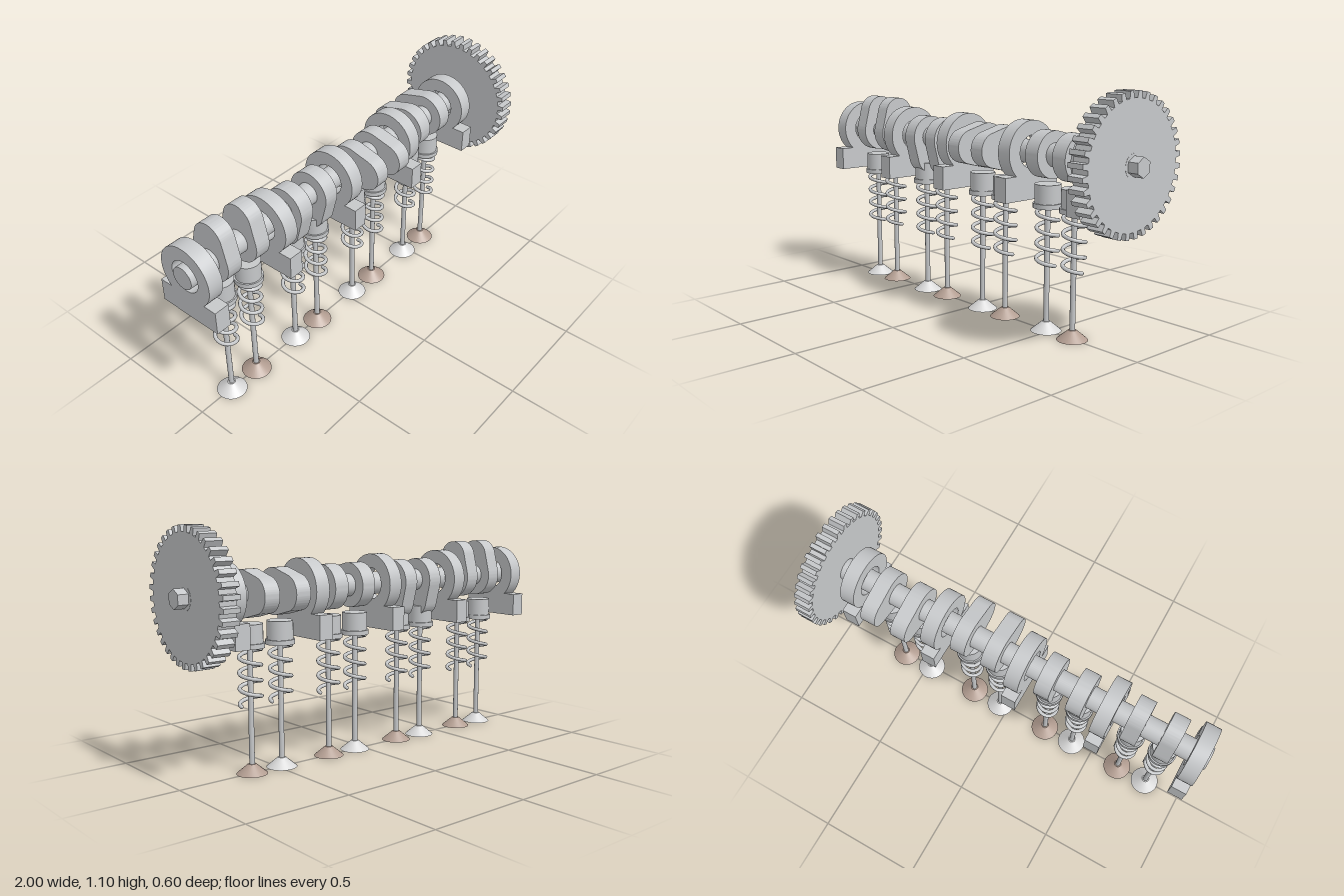
import * as THREE from 'three';
import { toCreasedNormals } from 'three/addons/utils/BufferGeometryUtils.js';

const AXIS_Y = 0.8; // height of the shaft centre line

export function createModel() {
  const steel = new THREE.MeshStandardMaterial({ name: 'steel', color: 0xc6c8ca });
  const paleSteel = new THREE.MeshStandardMaterial({ name: 'pale steel', color: 0xd8d8d8 });
  const bronze = new THREE.MeshStandardMaterial({ name: 'heat-stained bronze', color: 0xb39e92 });

  const model = new THREE.Group();
  model.name = 'camshaftAssembly';

  const add = (parent, name, geometry, material, x = 0, y = 0, z = 0) => {
    const mesh = new THREE.Mesh(geometry, material);
    mesh.name = name;
    mesh.position.set(x, y, z);
    parent.add(mesh);
    return mesh;
  };

  // Extrudes a profile along x, centred on x = 0
  const plate = (shape, width, curveSegments = 24) => {
    const g = new THREE.ExtrudeGeometry(shape, { depth: width, bevelEnabled: false, curveSegments });
    g.translate(0, 0, -width / 2).rotateY(Math.PI / 2);
    return toCreasedNormals(g, 0.2);
  };

  // Shaft
  const shaft = new THREE.CylinderGeometry(0.053, 0.053, 1.951, 40).rotateZ(Math.PI / 2);
  add(model, 'shaft', shaft, steel, -0.0245, AXIS_Y);

  // Drive gear
  const teeth = 36, gearShape = new THREE.Shape();
  const toothProfile = [[-0.29, 0.27], [-0.2, 0.299], [0.2, 0.299], [0.29, 0.27]];
  for (let i = 0; i < teeth; i++) {
    for (const [offset, r] of toothProfile) {
      const a = ((i + 0.5 + offset) / teeth) * Math.PI * 2;
      const x = Math.cos(a) * r, y = Math.sin(a) * r;
      if (i === 0 && offset === -0.29) gearShape.moveTo(x, y);
      else gearShape.lineTo(x, y);
    }
  }
  gearShape.closePath();
  add(model, 'driveGear', plate(gearShape, 0.08), steel, 0.91, AXIS_Y);

  // Hexagonal bolt head with its corners at top and bottom
  const hex = new THREE.CylinderGeometry(0.043, 0.043, 0.055, 6).toNonIndexed();
  hex.computeVertexNormals();
  hex.rotateY(Math.PI / 6).rotateZ(Math.PI / 2);
  add(model, 'gearBolt', hex, steel, 0.9725, AXIS_Y);

  // Bearings: a ring standing on a rectangular foot
  const ringShape = new THREE.Shape().absarc(0, 0, 0.14, 0, Math.PI * 2);
  ringShape.holes.push(new THREE.Path().absarc(0, 0, 0.075, 0, Math.PI * 2, true));
  const ringGeometry = plate(ringShape, 0.072);
  const footGeometry = new THREE.BoxGeometry(0.072, 0.112, 0.32);
  for (let i = 0; i < 5; i++) {
    const bearing = new THREE.Group();
    bearing.name = 'bearing';
    bearing.position.x = -0.95 + i * 0.4315;
    add(bearing, 'bearingRing', ringGeometry, steel, 0, AXIS_Y);
    add(bearing, 'bearingFoot', footGeometry, steel, 0, 0.641);
    model.add(bearing);
  }

  // Cam: base circle and nose circle joined by tangents, nose pointing up
  const base = 0.105, nose = 0.08, reach = 0.1;
  const tangent = Math.acos((base - nose) / reach), up = Math.PI / 2;
  const camShape = new THREE.Shape();
  camShape.absarc(0, 0, base, up + tangent, up + Math.PI * 2 - tangent);
  camShape.absarc(0, reach, nose, up - tangent, up + tangent);
  const camGeometry = plate(camShape, 0.075);

  // Valve spring
  class Helix extends THREE.Curve {
    getPoint(t, target = new THREE.Vector3()) {
      const a = t * 3.75 * Math.PI * 2;
      return target.set(0.048 * Math.cos(a), 0.308 + t * 0.26, 0.048 * Math.sin(a));
    }
  }
  const springGeometry = new THREE.TubeGeometry(new Helix(), 120, 0.009, 8);
  const springEnd = new THREE.SphereGeometry(0.009, 8, 6);

  // Other valve parts
  const lifterGeometry = new THREE.CylinderGeometry(0.059, 0.059, 0.084, 32);
  const retainerGeometry = new THREE.CylinderGeometry(0.066, 0.066, 0.022, 32);
  const stemGeometry = new THREE.CylinderGeometry(0.0125, 0.0125, 0.56, 16);
  const headGeometry = new THREE.CylinderGeometry(0.018, 0.07, 0.044, 32);

  // Four pairs of cams and valves; rotation about x aims each nose
  const noseAngles = [0, Math.PI, Math.PI / 2, -Math.PI / 2]; // up, down, front, back
  noseAngles.forEach((angle, pair) => {
    [-0.08, 0.08].forEach((offset, side) => {
      const x = -0.733 + pair * 0.431 + offset;
      add(model, 'cam', camGeometry, steel, x, AXIS_Y).rotation.x = angle;

      const valve = new THREE.Group();
      valve.name = side ? 'exhaustValve' : 'intakeValve';
      valve.position.x = x;
      add(valve, 'lifter', lifterGeometry, steel, 0, 0.628);
      add(valve, 'springRetainer', retainerGeometry, steel, 0, 0.575);
      add(valve, 'spring', springGeometry, steel);
      add(valve, 'springEnd', springEnd, steel, 0.048, 0.308);
      add(valve, 'stem', stemGeometry, steel, 0, 0.31);
      add(valve, 'valveHead', headGeometry, side ? bronze : paleSteel, 0, 0.022);
      model.add(valve);
    });
  });

  return model;
}
